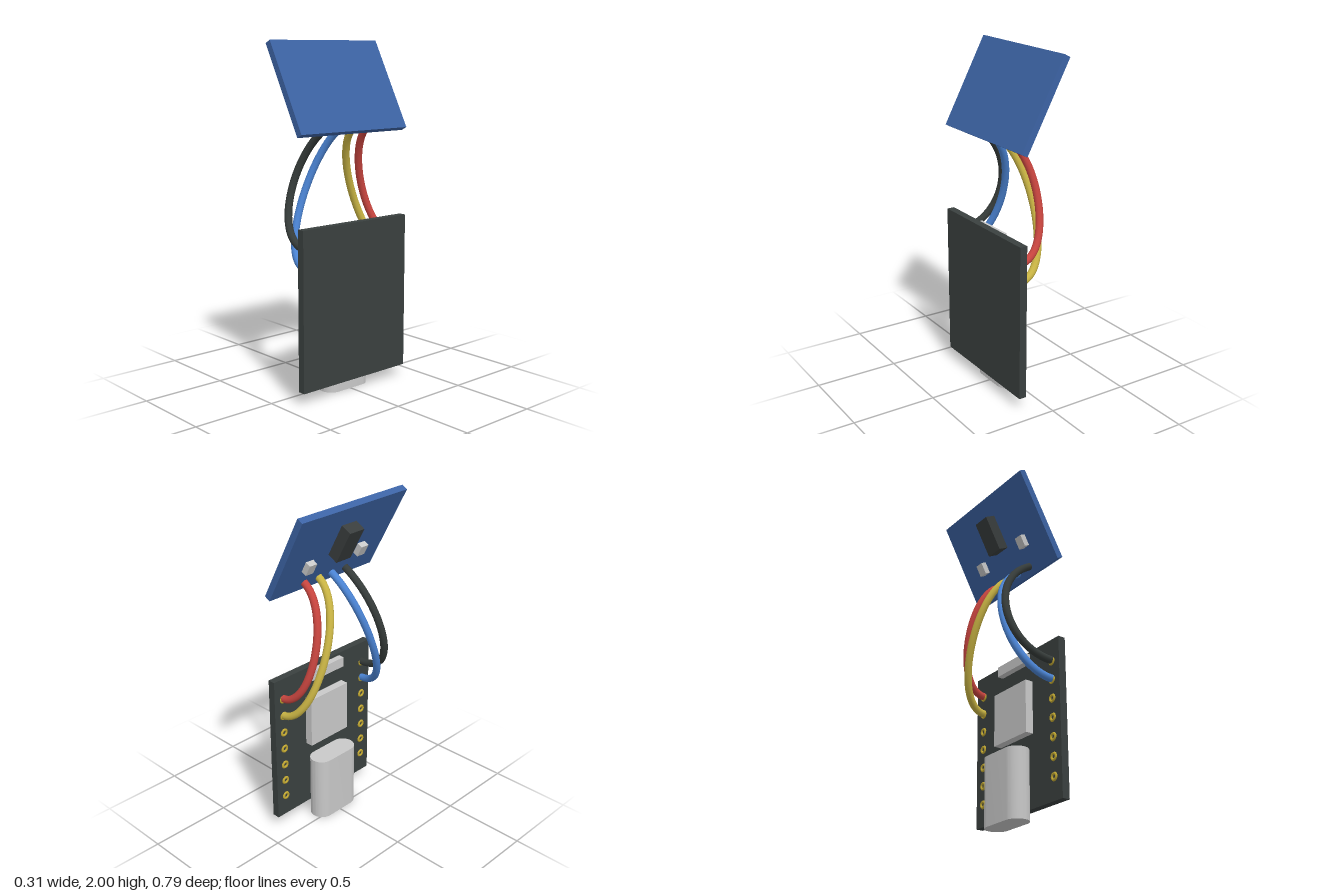
import * as THREE from 'three';
import { toCreasedNormals } from 'three/addons/utils/BufferGeometryUtils.js';

const material = (name, color) => {
  const m = new THREE.MeshStandardMaterial({ color });
  m.name = name;
  return m;
};

export function createModel() {
  const model = new THREE.Group();
  model.name = 'wiredCircuitBoards';

  const boardBlack = material('boardBlack', 0x3a403f);
  const boardBlue = material('boardBlue', 0x3c63a4);
  const metal = material('metalGrey', 0xc8c8c8);
  const chipBlack = material('chipBlack', 0x393d3d);
  const gold = material('padGold', 0xc4aa32);
  const wireRed = material('wireRed', 0xc8453f);
  const wireYellow = material('wireYellow', 0xc9b444);
  const wireBlue = material('wireBlue', 0x4b84d4);
  const wireBlack = material('wireBlack', 0x363c3a);

  const add = (parent, name, geometry, mat, x = 0, y = 0, z = 0) => {
    const mesh = new THREE.Mesh(geometry, mat);
    mesh.name = name;
    mesh.position.set(x, y, z);
    parent.add(mesh);
    return mesh;
  };
  const box = (parent, name, mat, size, pos) =>
    add(parent, name, new THREE.BoxGeometry(...size), mat, ...pos);

  // Lower upright board with its parts on the -x face
  const lower = new THREE.Group();
  lower.name = 'controllerBoard';
  model.add(lower);
  box(lower, 'lowerBoard', boardBlack, [0.045, 0.92, 0.78], [0.1325, 0.53, 0]);
  box(lower, 'shieldedChip', metal, [0.05, 0.31, 0.3], [0.087, 0.645, 0]);
  box(lower, 'smallButton', metal, [0.04, 0.06, 0.26], [0.092, 0.945, 0]);

  // Socket with rounded ends, extruded upward
  const r = 0.07, half = 0.09;
  const outline = new THREE.Shape();
  outline.absarc(0, half, r, 0, Math.PI, false);
  outline.absarc(0, -half, r, Math.PI, Math.PI * 2, false);
  outline.closePath();
  const socket = toCreasedNormals(
    new THREE.ExtrudeGeometry(outline, { depth: 0.4, bevelEnabled: false, curveSegments: 16 }), 0.6);
  socket.rotateX(-Math.PI / 2);
  add(lower, 'plugSocket', socket, metal, 0.04, 0, 0);

  // Solder rings along both long edges
  const ring = new THREE.TorusGeometry(0.018, 0.008, 6, 14).rotateY(Math.PI / 2);
  for (const z of [-0.325, 0.325])
    for (let i = 0; i < 7; i++) add(lower, 'solderPad', ring, gold, 0.11, 0.2 + i * 0.11, z);

  // Upper tilted board with its parts on the underside
  const tilt = THREE.MathUtils.degToRad(28);
  const upper = new THREE.Group();
  upper.name = 'sensorBoard';
  upper.position.set(0.003, 1.743, 0);
  upper.rotation.z = tilt;
  model.add(upper);
  box(upper, 'upperBoard', boardBlue, [0.04, 0.562, 0.79], [0, 0, 0]);
  box(upper, 'sensorChip', chipBlack, [0.068, 0.213, 0.11], [-0.053, 0.052, 0]);
  for (const z of [-0.2, 0.2])
    box(upper, 'smallComponent', metal, [0.036, 0.07, 0.055], [-0.037, -0.084, z]);

  // Four wires bowing out from the lower board into the upper one
  const normal = new THREE.Vector3(-Math.cos(tilt), -Math.sin(tilt), 0);
  const wires = [
    ['blackWire', wireBlack, 0.865, 0.325, 0.16, 0.35],
    ['blueWire', wireBlue, 0.755, 0.325, 0.05, 0.31],
    ['yellowWire', wireYellow, 0.755, -0.325, -0.05, 0.27],
    ['redWire', wireRed, 0.865, -0.325, -0.16, 0.25],
  ];
  for (const [name, mat, y, z0, z1, reach] of wires) {
    const start = new THREE.Vector3(0.115, y, z0);
    const end = new THREE.Vector3(0.096, 1.532, z1);
    const curve = new THREE.CubicBezierCurve3(
      start,
      new THREE.Vector3(0.12 - reach * 0.95, y, z0),
      end.clone().addScaledVector(normal, reach),
      end);
    add(model, name, new THREE.TubeGeometry(curve, 40, 0.022, 12), mat);
  }
  return model;
}
